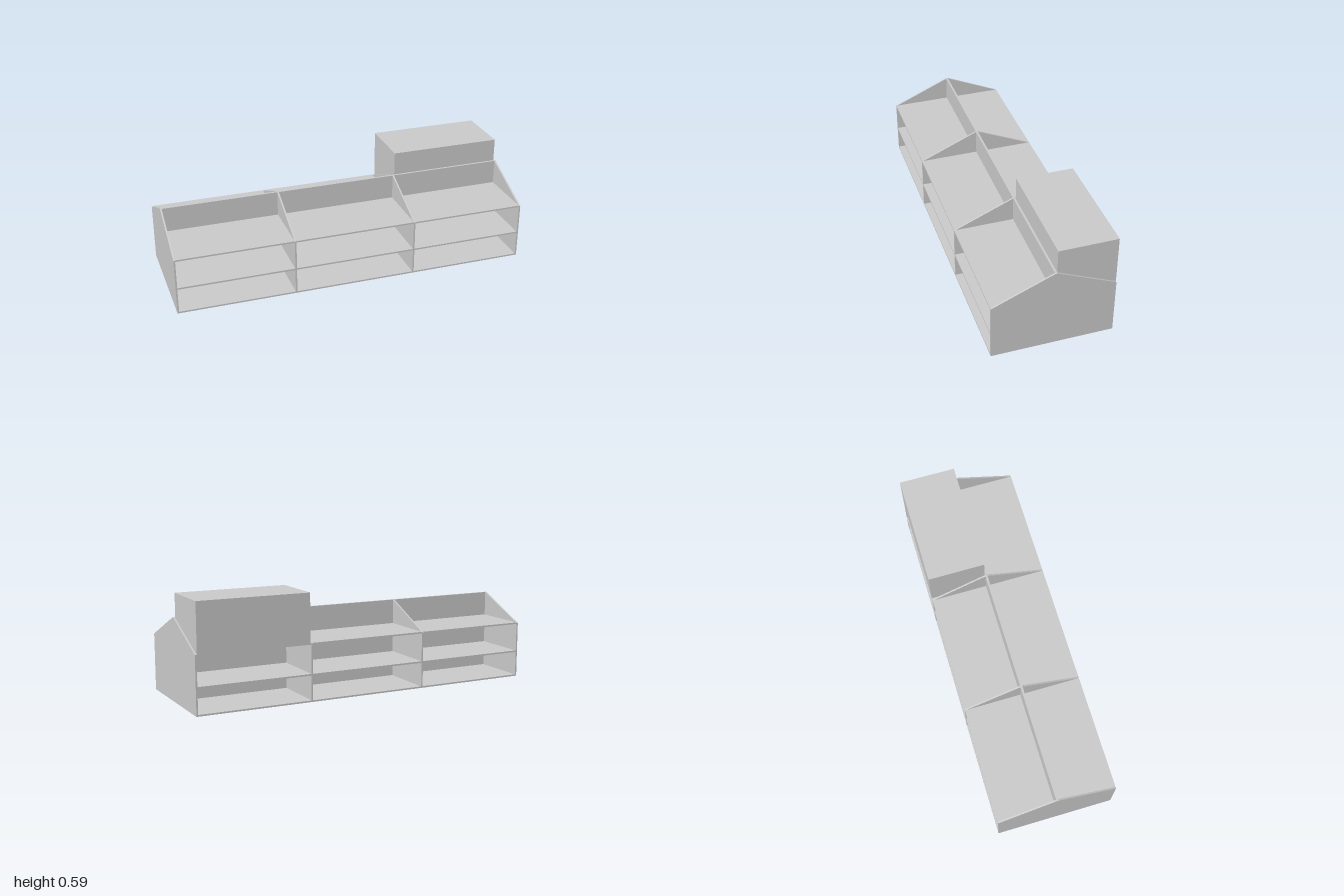
import * as THREE from 'three';

const T = 0.009;          // board thickness
const DEPTH = 0.333;      // half depth
const EAVE = 0.319;       // height where the gables start to slope
const RIDGE = 0.461;      // height of the spine board
const SPINE = 0.012;      // spine board thickness

export function createModel() {
  const group = new THREE.Group();
  group.name = 'doubleSidedShelf';
  const material = new THREE.MeshStandardMaterial({ color: 0xcccccc, flatShading: true });

  const add = (name, geometry) => {
    const mesh = new THREE.Mesh(geometry, material);
    mesh.name = name;
    group.add(mesh);
  };
  // box given by its minimum and maximum corners
  const block = (name, x0, x1, y0, y1, z0, z1) => {
    const g = new THREE.BoxGeometry(x1 - x0, y1 - y0, z1 - z0);
    g.translate((x0 + x1) / 2, (y0 + y1) / 2, (z0 + z1) / 2);
    add(name, g);
  };

  // upright boards with a gabled outline, drawn in the z-y plane
  const outline = new THREE.Shape([
    [-DEPTH, 0], [DEPTH, 0], [DEPTH, EAVE], [0, RIDGE], [-SPINE, RIDGE], [-DEPTH, EAVE],
  ].map(([z, y]) => new THREE.Vector2(-z, y)));
  const uprights = [-1, -0.345, 0.343, 1 - T];
  const names = ['rightGable', 'rightDivider', 'leftDivider', 'leftGable'];
  uprights.forEach((x, i) => {
    const g = new THREE.ExtrudeGeometry(outline, { depth: T, bevelEnabled: false });
    g.rotateY(Math.PI / 2);
    g.translate(x, 0, 0);
    add(names[i], g);
  });

  // shelves and spine panels fitted into each bay
  for (let i = 0; i < 3; i++) {
    const x0 = uprights[i] + T, x1 = uprights[i + 1];
    [0, 0.145, 0.313].forEach((y) => block('shelf', x0, x1, y, y + T, -DEPTH, DEPTH));
    block('spinePanel', x0, x1, T, RIDGE, -SPINE, 0);
  }

  // tall box standing on the top shelf behind the spine
  block('storageBox', 0.358, 0.99, 0.322, 0.592, -0.334, -SPINE - 0.001);

  return group;
}
